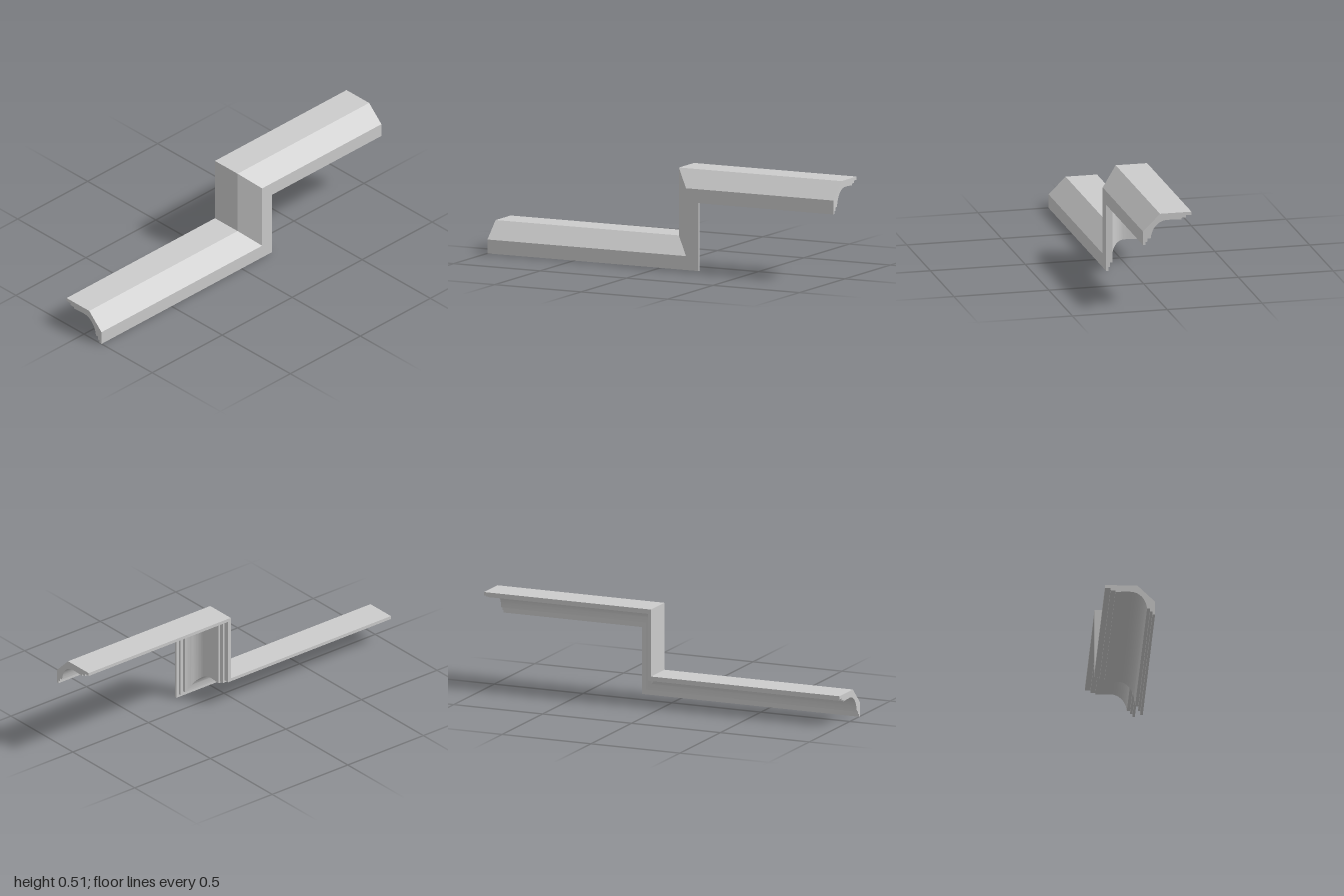
import * as THREE from 'three';
import { toCreasedNormals } from 'three/addons/utils/BufferGeometryUtils.js';

const END = 1;        // half length of the moulding
const CORNER_X = 0.06; // outer face of the riser
const LOW = 0.16;     // top of the lower run
const HIGH = 0.512;   // top of the upper run

// Cross-section as (z, -depth below the outer face), running front, top, back, hollow
function mouldingProfile() {
  const v = (z, y) => new THREE.Vector2(z, y - HIGH);
  const cove = new THREE.CubicBezierCurve(v(0, 0.477), v(0.04, 0.477), v(0.08, 0.447), v(0.087, 0.385));
  const lip = new THREE.QuadraticBezierCurve(v(-0.075, 0.474), v(-0.037, 0.477), v(0, 0.477));
  return [
    v(0.128, 0.352), v(0.128, 0.424), v(0.038, 0.512), v(-0.128, 0.512),
    v(-0.128, 0.495), v(-0.1, 0.495), v(-0.1, 0.483), v(-0.075, 0.483),
    ...lip.getPoints(6),
    ...cove.getPoints(28).slice(1),
    v(0.103, 0.385), v(0.103, 0.368), v(0.115, 0.368), v(0.115, 0.352),
  ];
}

// Stepped sweep: lower run, riser and upper run joined by mitred corners
function sweepProfile(profile) {
  const stations = profile.map(({ x: z, y }) => [
    [-END, LOW + y, z],
    [CORNER_X - y, LOW + y, z],
    [CORNER_X - y, HIGH + y, z],
    [END, HIGH + y, z],
  ]);
  const positions = [];
  const tri = (a, b, c) => positions.push(...a, ...b, ...c);

  stations.forEach((p, i) => {
    const q = stations[(i + 1) % stations.length];
    for (let j = 0; j < 3; j++) {
      tri(p[j], p[j + 1], q[j + 1]);
      tri(p[j], q[j + 1], q[j]);
    }
  });

  // End caps
  for (const [a, b, c] of THREE.ShapeUtils.triangulateShape(profile, [])) {
    tri(stations[a][0], stations[b][0], stations[c][0]);
    tri(stations[a][3], stations[c][3], stations[b][3]);
  }

  const geometry = new THREE.BufferGeometry();
  geometry.setAttribute('position', new THREE.Float32BufferAttribute(positions, 3));
  return toCreasedNormals(geometry, Math.PI / 6);
}

export function createModel() {
  const group = new THREE.Group();
  group.name = 'steppedCornice';
  const moulding = new THREE.Mesh(
    sweepProfile(mouldingProfile()),
    new THREE.MeshStandardMaterial({ color: 0xcccccc })
  );
  moulding.name = 'coveMoulding';
  group.add(moulding);
  return group;
}
